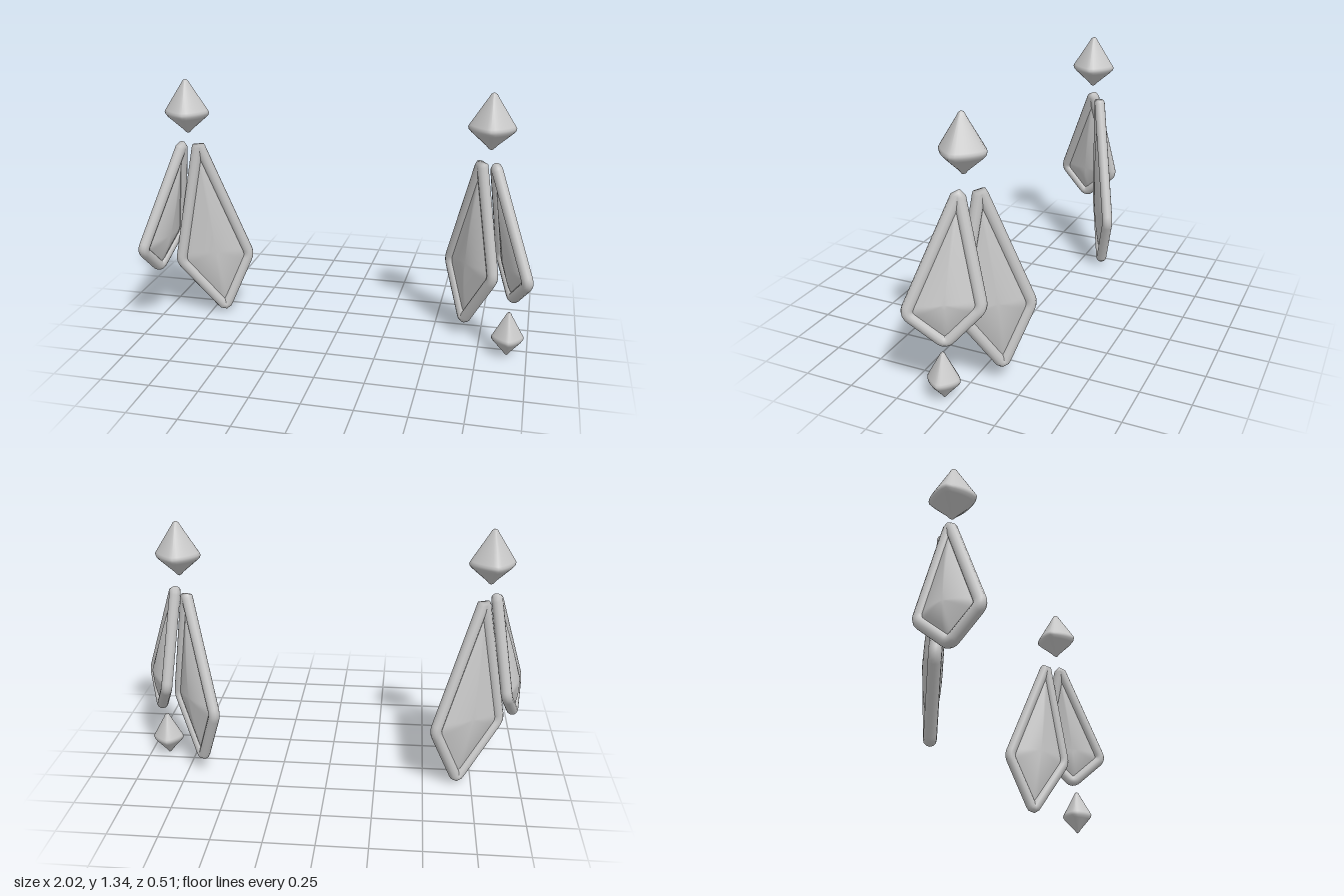
import * as THREE from 'three';
import { mergeVertices } from 'three/addons/utils/BufferGeometryUtils.js';
import { ParametricGeometry } from 'three/addons/geometries/ParametricGeometry.js';

const V = (p) => new THREE.Vector3(...p);

// Welds seams and poles so the shading is continuous.
function smooth(geometry) {
  geometry.deleteAttribute('uv');
  geometry.deleteAttribute('normal');
  const welded = mergeVertices(geometry, 1e-5);
  welded.computeVertexNormals();
  return welded;
}

// Closed kite path with softly rounded corners.
function roundedLoop(corners, cut) {
  const path = new THREE.CurvePath();
  const n = corners.length;
  const toward = (a, b) => a.clone().addScaledVector(b.clone().sub(a).normalize(), cut);
  corners.forEach((c, i) => {
    const prev = corners[(i + n - 1) % n];
    const next = corners[(i + 1) % n];
    path.add(new THREE.QuadraticBezierCurve3(toward(c, prev), c, toward(c, next)));
    path.add(new THREE.LineCurve3(toward(c, next), toward(next, c)));
  });
  return path;
}

// Kite-shaped petal: round rim plus a pillow-like panel, from its outer corners.
function petal(name, points, material) {
  const rim = 0.029;
  const [top, sideA, bottom, sideB] = points.map(V);
  const centre = sideA.clone().add(sideB).multiplyScalar(0.5).lerp(top, 0.08);
  const normal = bottom.clone().sub(top).cross(sideA.clone().sub(sideB)).normalize();
  const corners = [top, sideA, bottom, sideB].map((c) =>
    c.clone().addScaledVector(centre.clone().sub(c).normalize(), rim * 0.85));
  const path = roundedLoop(corners, 0.03);

  const panel = smooth(new ParametricGeometry((u, v, target) => {
    const c = Math.cos(Math.PI * v);
    target.copy(centre).lerp(path.getPointAt(u % 1), Math.sin(Math.PI * v));
    target.addScaledVector(normal, 0.045 * c * Math.abs(c));
  }, 96, 24));
  const rimMesh = new THREE.Mesh(new THREE.TubeGeometry(path, 180, rim, 12, true), material);
  rimMesh.name = name + 'Rim';
  const panelMesh = new THREE.Mesh(panel, material);
  panelMesh.name = name + 'Panel';
  const group = new THREE.Group();
  group.name = name;
  group.add(rimMesh, panelMesh);
  return group;
}

// Four-sided double pyramid with softened edges.
function gem(name, radius, height, waist, position, turn, material) {
  const profile = [
    [0, 0], [0.1, 0.02], [0.22, waist * 0.2], [0.86, waist * 0.8], [0.97, waist * 0.93],
    [1, waist * 1.05], [0.95, waist + 0.06], [0.22, 0.91], [0.13, 0.975], [0.06, 0.995], [0, 1],
  ].map(([r, y]) => new THREE.Vector2(r * radius, y * height));
  const geometry = new THREE.LatheGeometry(profile, 32);
  const pos = geometry.attributes.position;
  const p = 1.35;
  for (let i = 0; i < pos.count; i++) {
    const x = pos.getX(i), z = pos.getZ(i), r = Math.hypot(x, z);
    if (r < 1e-6) continue;
    const k = 1 / Math.pow(Math.abs(x / r) ** p + Math.abs(z / r) ** p, 1 / p);
    pos.setX(i, x * k);
    pos.setZ(i, z * k);
  }
  const mesh = new THREE.Mesh(smooth(geometry), material);
  mesh.name = name;
  mesh.position.set(...position);
  mesh.rotation.y = turn;
  return mesh;
}

export function createModel() {
  const silver = new THREE.MeshStandardMaterial({ color: 0xc8c8c8 });
  silver.name = 'silver';

  // Earring on the model's left; it also carries a hanging drop.
  const left = new THREE.Group();
  left.name = 'leftEarring';
  left.add(
    gem('leftStud', 0.116, 0.28, 0.38, [0.762, 1.06, -0.005], 0, silver),
    petal('leftLargePetal', [
      [0.72, 1.01, -0.055], [0.55, 0.39, -0.25], [0.66, 0.07, -0.13], [0.825, 0.39, 0.03],
    ], silver),
    petal('leftSmallPetal', [
      [0.785, 1.01, 0.005], [0.995, 0.45, 0.205], [0.915, 0.285, 0.03], [0.83, 0.475, -0.14],
    ], silver),
    gem('leftDrop', 0.082, 0.24, 0.4, [0.9, 0.005, 0.055], 0.1, silver),
  );

  // Earring on the model's right.
  const right = new THREE.Group();
  right.name = 'rightEarring';
  right.add(
    gem('rightStud', 0.116, 0.28, 0.38, [-0.793, 1.06, -0.005], 0.15, silver),
    petal('rightLargePetal', [
      [-0.765, 1.02, -0.055], [-0.53, 0.33, -0.215], [-0.67, 0.01, -0.13], [-0.9, 0.33, -0.01],
    ], silver),
    petal('rightSmallPetal', [
      [-0.82, 1.025, 0], [-0.99, 0.47, 0.25], [-0.965, 0.31, 0.085], [-0.9, 0.49, -0.12],
    ], silver),
  );

  const model = new THREE.Group();
  model.name = 'earringPair';
  model.add(left, right);
  return model;
}
